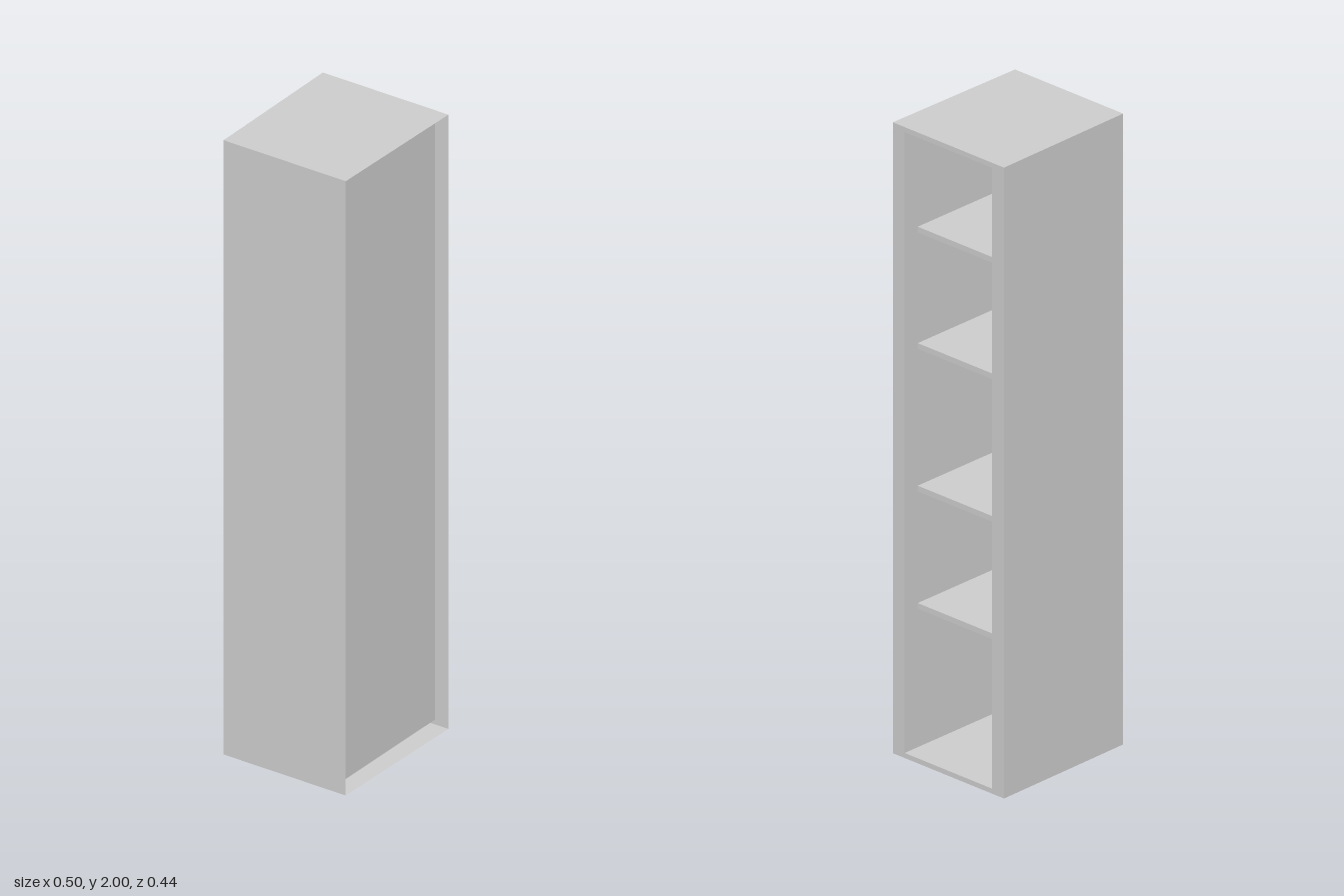
import * as THREE from 'three';

const W = 0.25;          // half width in x
const H = 2;             // height
const Z_OPEN = 0.221;    // half depth at the open side (+x)
const Z_SHUT = 0.215;    // half depth at the closed side (-x)
const IN_Z = 0.174;      // half depth of the compartment
const IN_Y = 0.016;      // gap above and below the compartment
const SHELF_X = 0.196;   // leading edge of the shelves

const material = new THREE.MeshStandardMaterial({
  color: 0xcccccc, flatShading: true, side: THREE.DoubleSide,
});

function addMesh(group, name, geometry) {
  const mesh = new THREE.Mesh(geometry, material);
  mesh.name = name;
  group.add(mesh);
  return mesh;
}

// Thin flat panel from four corners, counter-clockwise from its front
function panel(a, b, c, d) {
  const g = new THREE.BufferGeometry();
  g.setAttribute('position', new THREE.Float32BufferAttribute([a, b, c, d].flat(), 3));
  g.setIndex([0, 1, 2, 0, 2, 3]);
  g.computeVertexNormals();
  return g;
}

// Horizontal panel spanning the cabinet at height y
function level(y, zShut, zOpen, up) {
  const c = [[-W, y, zShut], [W, y, zOpen], [W, y, -zOpen], [-W, y, -zShut]];
  return panel(...(up ? c : c.reverse()));
}

const rectangle = (shape, z, y0, y1) =>
  shape.moveTo(-z, y0).lineTo(z, y0).lineTo(z, y1).lineTo(-z, y1).closePath();

export function createModel() {
  const model = new THREE.Group();
  model.name = 'shelfCabinet';

  // Outer casing: the front is left uncovered, showing the compartment wall
  addMesh(model, 'topPanel', level(H, Z_SHUT, Z_OPEN, true));
  addMesh(model, 'bottomPanel', level(0, Z_SHUT, Z_OPEN, false));
  addMesh(model, 'backPanel', panel(
    [W, 0, -Z_OPEN], [-W, 0, -Z_SHUT], [-W, H, -Z_SHUT], [W, H, -Z_OPEN]));
  addMesh(model, 'closedSide', panel(
    [-W, 0, -Z_SHUT], [-W, 0, Z_SHUT], [-W, H, Z_SHUT], [-W, H, -Z_SHUT]));

  // Rim around the opening
  const rim = rectangle(new THREE.Shape(), Z_OPEN, 0, H);
  rim.holes.push(rectangle(new THREE.Path(), IN_Z, IN_Y, H - IN_Y));
  const rimMesh = addMesh(model, 'openingRim', new THREE.ShapeGeometry(rim));
  rimMesh.rotation.y = Math.PI / 2;
  rimMesh.position.x = W;

  // Compartment lining
  addMesh(model, 'compartmentFloor', level(IN_Y, IN_Z, IN_Z, true));
  addMesh(model, 'compartmentCeiling', level(H - IN_Y, IN_Z, IN_Z, false));
  for (const s of [1, -1]) {
    addMesh(model, s > 0 ? 'compartmentFrontWall' : 'compartmentBackWall', panel(
      [s * W, IN_Y, s * IN_Z], [-s * W, IN_Y, s * IN_Z],
      [-s * W, H - IN_Y, s * IN_Z], [s * W, H - IN_Y, s * IN_Z]));
  }

  // Shelves
  const shelf = new THREE.BoxGeometry(SHELF_X + W, 0.018, 2 * IN_Z);
  [0.464, 0.836, 1.288, 1.657].forEach((y, i) => {
    addMesh(model, `shelf${i + 1}`, shelf).position.set((SHELF_X - W) / 2, y, 0);
  });

  return model;
}
